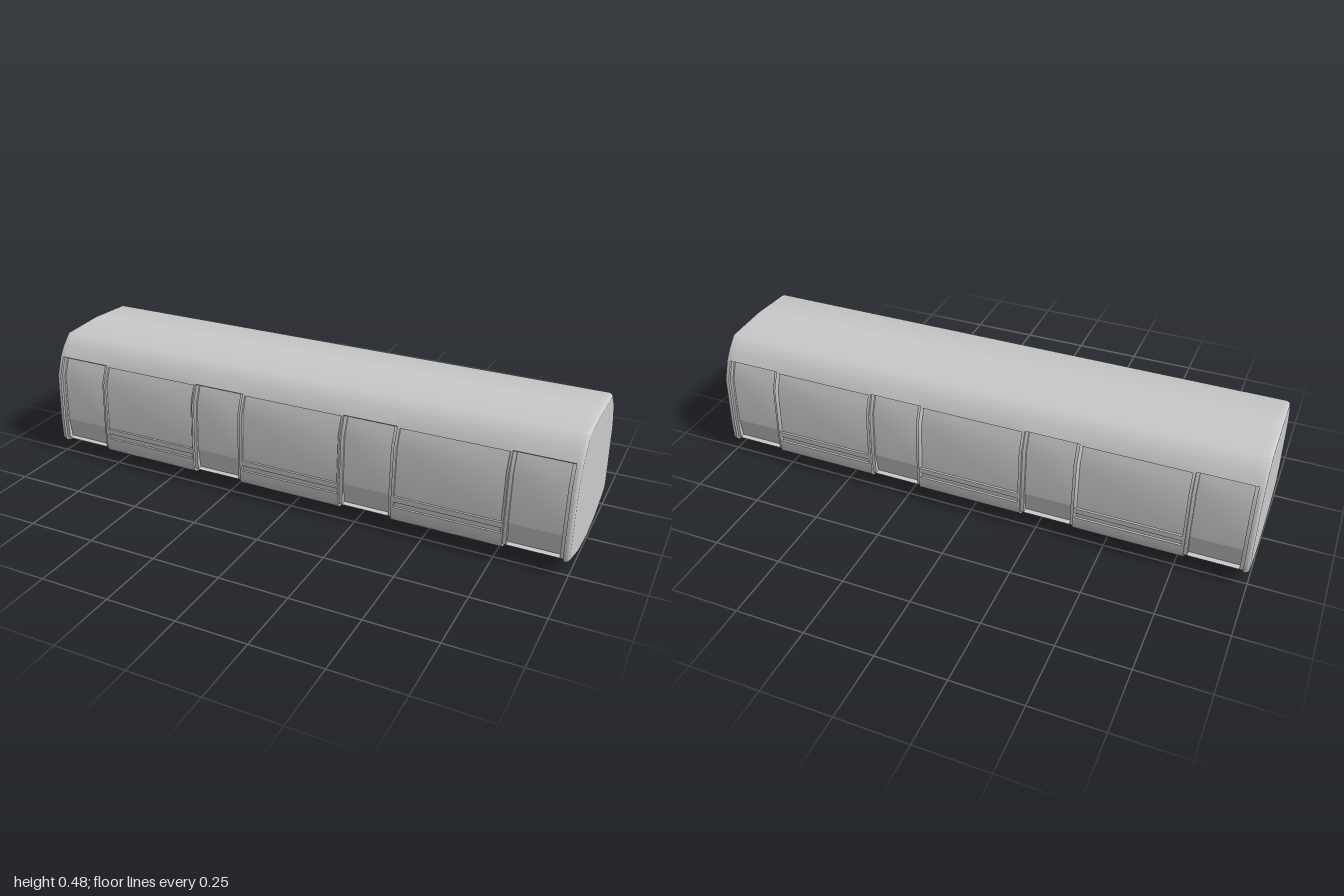
import * as THREE from 'three';
import { toCreasedNormals } from 'three/addons/utils/BufferGeometryUtils.js';

// Half cross-section [z, y] from roof centre to floor centre; doubled points allow ledges
const HALF = [
  [0, 0.481], [0.17, 0.472], [0.21, 0.43], [0.232, 0.395],
  [0.234, 0.39], [0.234, 0.39], [0.26, 0.325], [0.27, 0.15], [0.27, 0.15],
  [0.27, 0.13], [0.27, 0.13], [0.27, 0.11], [0.27, 0.11],
  [0.27, 0.066], [0.26, 0.055], [0.13, 0.015], [0, 0.002],
];
const FLOOR = 14; // from this point on the skin faces down
const TILT = 0.01;

// Depth of every half-section point below the outer skin
const depths = (fn) => HALF.map((p, i) => fn(i));
const FULL = depths(() => 0);
const WINDOW = depths((i) => (i >= 5 && i <= 7) || i === 10 || i === 11 ? 0.008 : 0);
const BAY = depths((i) => (i >= 4 ? 0.009 : 0));
const DOOR = depths((i) => (i < 4 ? 0 : i >= 5 && i <= 12 ? 0.016 : 0.009));

// Turn a depth list into a closed ring of [z, y]
function ring(depth, scale = 1) {
  const half = HALF.map(([z, y], i) => {
    let d = depth[i];
    if (depth === DOOR) {
      // Door: lower panel from 0.145 to 0.07, leaning inwards
      if (i >= 8 && i <= 12) {
        y = 0.145 - (0.075 * (i - 8)) / 4;
        d += (TILT * (i - 8)) / 4;
      }
      if (i === 7) y = 0.145;
    }
    const pz = i >= FLOOR ? z - (i === FLOOR ? d : 0) : z - d;
    const py = i >= FLOOR ? y + d : y;
    return [pz * scale, 0.241 + (py - 0.241) * scale];
  });
  const mirrored = half.slice(1, -1).reverse().map(([z, y]) => [-z, y]);
  return [...half, ...mirrored];
}

// Lengthwise stations; a repeated x makes an upright step
function stations() {
  const list = [];
  const span = (a, b, depth) => list.push({ x: a, r: ring(depth), depth }, { x: b, r: ring(depth), depth });
  const end = (s) => [[1, 0.958], [0.997, 0.982], [0.988, 1]].map(([x, k]) => ({ x: s * x, r: ring(FULL, k), depth: FULL }));
  list.push(...end(-1));
  const doors = [[-0.98, -0.78], [-0.39, -0.195], [0.195, 0.39], [0.78, 0.98]];
  doors.forEach(([a, b], i) => {
    span(a - 0.002, a, FULL);
    span(a, a + 0.012, BAY);
    span(a + 0.012, b - 0.012, DOOR);
    span(b - 0.012, b, BAY);
    if (i < 3) {
      const next = doors[i + 1][0];
      span(b, b + 0.01, FULL);
      span(b + 0.01, next - 0.01, WINDOW);
    }
  });
  span(0.98, 0.982, FULL);
  list.push(...end(1).reverse());
  return list;
}

// Which part a strip of skin belongs to
function partName(a, b, i, count) {
  const k = Math.min(i, count - 1 - i);
  if (a.depth !== b.depth || a.x === b.x) return 'carBody';
  if (a.depth === WINDOW) {
    if (k === 5 || k === 6) return 'sideWindows';
    if (k === 10) return 'sideGrooves';
  }
  if (a.depth === DOOR) {
    if (k >= 5 && k <= 7) return 'doorPanels';
    if (k >= 8 && k <= 11) return 'doorLowerPanels';
  }
  return 'carBody';
}

export function createModel() {
  const group = new THREE.Group();
  group.name = 'railCarriage';
  const material = new THREE.MeshStandardMaterial({ color: 0xcccccc });
  const parts = {};
  const addTriangle = (name, ...pts) => {
    const [a, b, c] = pts.map((p) => new THREE.Vector3(...p));
    if (new THREE.Triangle(a, b, c).getArea() < 1e-9) return;
    (parts[name] ??= []).push(...pts.flat());
  };

  // Skin: join each pair of neighbouring rings
  const list = stations();
  const count = list[0].r.length;
  const at = (s, i) => [s.x, s.r[i % count][1], s.r[i % count][0]];
  for (let s = 0; s + 1 < list.length; s++) {
    const [p, q] = [list[s], list[s + 1]];
    for (let i = 0; i < count; i++) {
      const name = partName(p, q, i, count);
      const [a, b, c, d] = [at(p, i), at(p, i + 1), at(q, i + 1), at(q, i)];
      addTriangle(name, a, b, c);
      addTriangle(name, a, c, d);
    }
  }

  // Flat end walls
  const first = list[0];
  const last = list[list.length - 1];
  for (let i = 0; i < count; i++) {
    addTriangle('endWalls', [last.x, 0.241, 0], at(last, i), at(last, i + 1));
    addTriangle('endWalls', [first.x, 0.241, 0], at(first, i + 1), at(first, i));
  }

  for (const [name, positions] of Object.entries(parts)) {
    const geometry = new THREE.BufferGeometry();
    geometry.setAttribute('position', new THREE.Float32BufferAttribute(positions, 3));
    const mesh = new THREE.Mesh(toCreasedNormals(geometry, 0.8), material);
    mesh.name = name;
    group.add(mesh);
  }
  return group;
}
